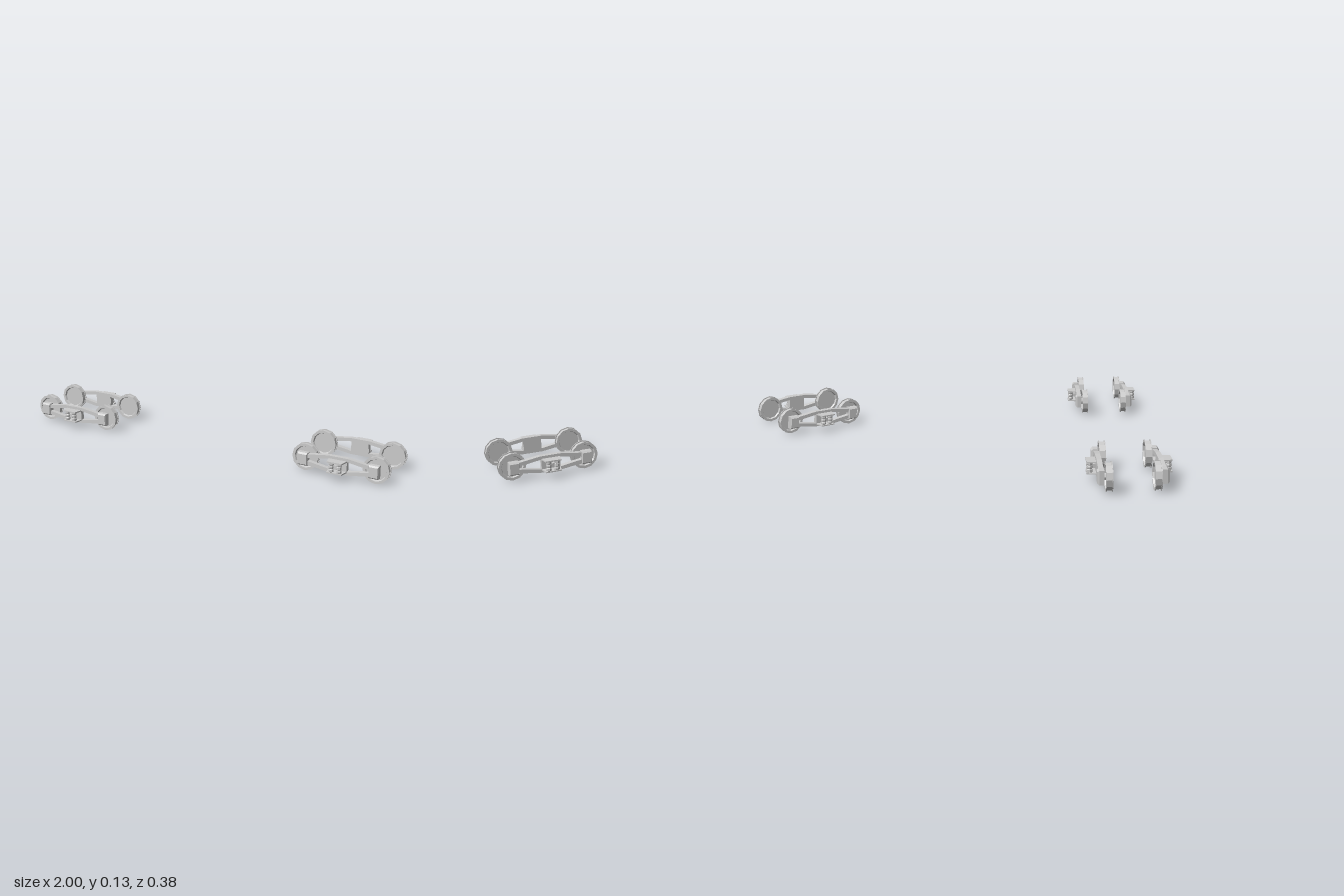
import * as THREE from 'three';

const material = new THREE.MeshStandardMaterial({ color: 0xcccccc, flatShading: true });
const AXLE_Y = 0.067, AXLE_X = 0.179, TRUCK_X = 0.754;
const SIDES = [-1, 1];

function add(parent, name, geometry, x = 0, y = 0, z = 0) {
  const mesh = new THREE.Mesh(geometry, material);
  mesh.name = name;
  mesh.position.set(x, y, z);
  parent.add(mesh);
  return mesh;
}

const shapeOf = (points) => new THREE.Shape(points.map(([x, y]) => new THREE.Vector2(x, y)));
const lathe = (points, sides) =>
  new THREE.LatheGeometry(points.map(([r, y]) => new THREE.Vector2(r, y)), sides);

// Box whose +z face is scaled down to make a chamfered front
function taperedBox(w, h, d, sx, sy) {
  const geometry = new THREE.BoxGeometry(w, h, d);
  const p = geometry.attributes.position;
  for (let i = 0; i < p.count; i++) {
    if (p.getZ(i) > 0) p.setXY(i, p.getX(i) * sx, p.getY(i) * sy);
  }
  return geometry;
}

// Twin-flanged wheel, dished on both faces
function wheelGeometry() {
  return lathe([
    [0, 0.098], [0.05, 0.098], [0.054, 0.09], [0.067, 0.09], [0.067, 0.0935],
    [0.062, 0.0935], [0.062, 0.1165], [0.067, 0.1165], [0.067, 0.12],
    [0.054, 0.12], [0.05, 0.112], [0, 0.112],
  ], 12).rotateX(Math.PI / 2);
}

// Arch-bar frame: sloping bars around two triangular windows
function frameGeometry() {
  const shape = shapeOf([
    [-0.2, 0.047], [-0.05, 0.026], [0.05, 0.026], [0.2, 0.047],
    [0.2, 0.087], [0.05, 0.108], [-0.05, 0.108], [-0.2, 0.087],
  ]);
  for (const s of SIDES) {
    const hole = [[0.045, 0.042], [0.165, 0.061], [0.165, 0.073], [0.045, 0.092]];
    shape.holes.push(shapeOf(hole.map(([x, y]) => [s * x, y])));
  }
  return new THREE.ExtrudeGeometry(shape, { depth: 0.023, bevelEnabled: false }).translate(0, 0, 0.124);
}

// Spring seat, slightly narrower at its outer edge
function seatGeometry() {
  const shape = shapeOf([[-0.046, -0.145], [-0.038, -0.19], [0.038, -0.19], [0.046, -0.145]]);
  return new THREE.ExtrudeGeometry(shape, { depth: 0.006, bevelEnabled: false }).rotateX(-Math.PI / 2);
}

// Spring column with raised coils
function springGeometry() {
  const points = [[0, 0.042]];
  for (let i = 0; i < 3; i++) {
    const y = 0.042 + i * 0.017;
    points.push([0.011, y], [0.013, y + 0.003], [0.013, y + 0.013], [0.011, y + 0.016]);
  }
  points.push([0, 0.092]);
  return lathe(points, 8);
}

// One side of a truck, facing +z
function createSide() {
  const side = new THREE.Group();
  add(side, 'sideFrame', frameGeometry());
  for (const s of SIDES) {
    const x = s * AXLE_X;
    add(side, 'wheel', wheelGeometry(), x, AXLE_Y);
    add(side, 'axleStub', new THREE.CylinderGeometry(0.016, 0.016, 0.016, 8).rotateX(Math.PI / 2), x, AXLE_Y, 0.118);
    add(side, 'journalBox', new THREE.BoxGeometry(0.05, 0.064, 0.022), x, AXLE_Y, 0.136);
    add(side, 'journalCover', taperedBox(0.05, 0.064, 0.008, 0.86, 0.78), x, AXLE_Y, 0.151);
    add(side, 'spring', springGeometry(), s * 0.02, 0, 0.175);
  }
  // Bolster end and spring seats
  add(side, 'bolsterEnd', new THREE.BoxGeometry(0.092, 0.056, 0.02), 0, AXLE_Y, 0.137);
  add(side, 'springDivider', new THREE.BoxGeometry(0.02, 0.018, 0.03), 0, AXLE_Y, 0.161);
  add(side, 'lowerSpringSeat', seatGeometry(), 0, 0.037);
  add(side, 'upperSpringSeat', seatGeometry(), 0, 0.089);
  return side;
}

export function createModel() {
  const model = new THREE.Group();
  model.name = 'truckPair';
  for (const s of SIDES) {
    const truck = new THREE.Group();
    truck.name = s > 0 ? 'leftTruck' : 'rightTruck';
    truck.position.x = s * TRUCK_X;
    const front = createSide();
    front.name = 'frontSide';
    const back = createSide();
    back.name = 'backSide';
    back.rotation.y = Math.PI;
    truck.add(front, back);
    model.add(truck);
  }
  return model;
}
